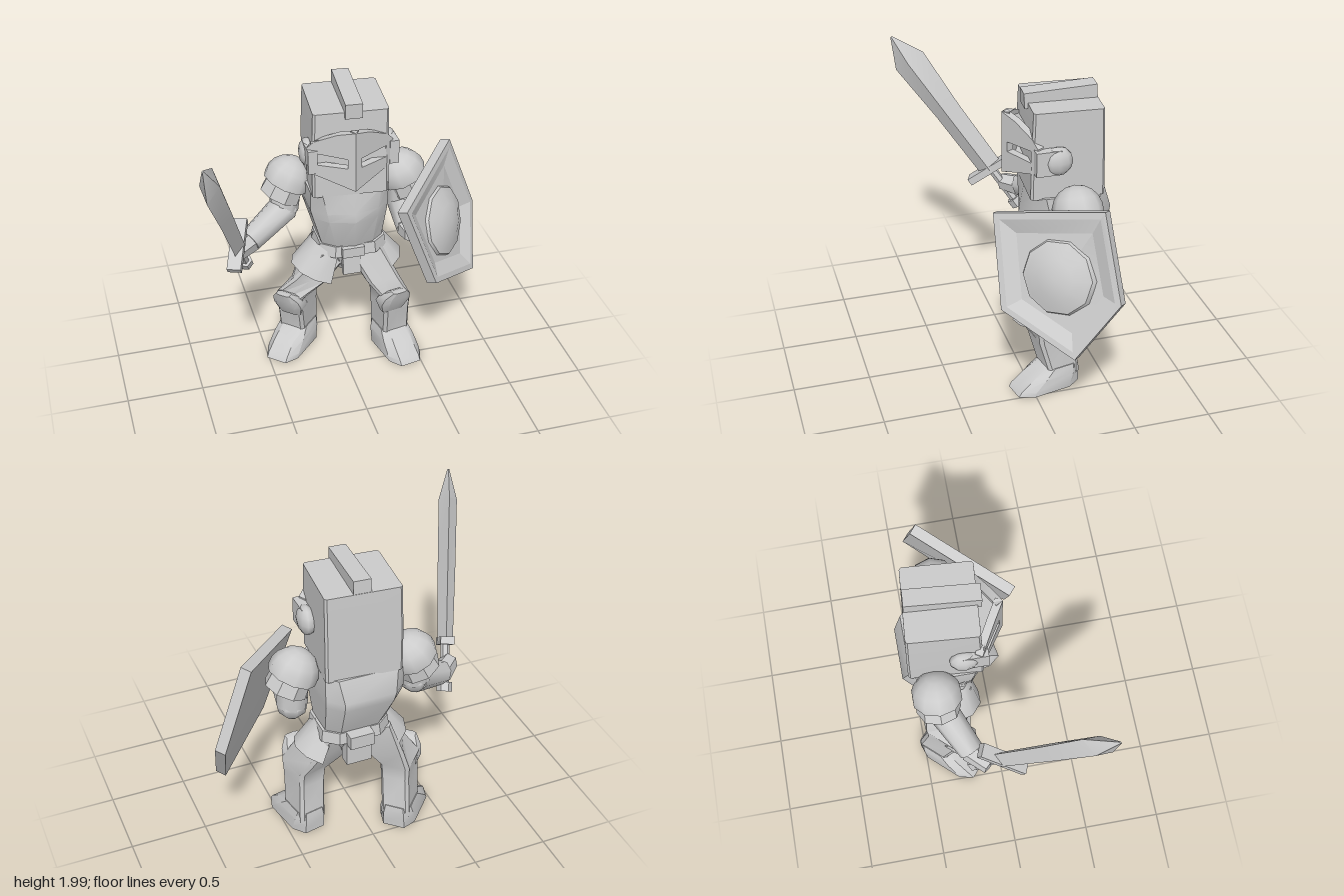
import * as THREE from 'three';
import { toCreasedNormals } from 'three/addons/utils/BufferGeometryUtils.js';

const V = (x, y, z) => new THREE.Vector3(x, y, z);
const UP = V(0, 1, 0);

export function createModel() {
  const root = new THREE.Group();
  const mat = new THREE.MeshStandardMaterial({ color: 0xcccccc, side: THREE.DoubleSide });

  function add(name, geo, parent = root, crease = 0.6) {
    const mesh = new THREE.Mesh(toCreasedNormals(geo, crease), mat);
    mesh.name = name;
    parent.add(mesh);
    return mesh;
  }

  // closed skin over a list of rings, capped at both ends
  function loft(rings) {
    const tri = [];
    const n = rings[0].length;
    for (let r = 0; r < rings.length - 1; r++) {
      for (let i = 0; i < n; i++) {
        const j = (i + 1) % n, a = rings[r], b = rings[r + 1];
        tri.push([a[i], b[i], a[j]], [a[j], b[i], b[j]]);
      }
    }
    const mid = (ring) => ring.reduce((s, p) => s.add(p), V(0, 0, 0)).divideScalar(n);
    const first = rings[0], last = rings[rings.length - 1];
    const c0 = mid(first), c1 = mid(last);
    for (let i = 0; i < n; i++) {
      const j = (i + 1) % n;
      tri.push([c0, first[i], first[j]], [c1, last[j], last[i]]);
    }
    // turn the faces outward whichever way the rings run
    const volume = tri.reduce((s, [a, b, c]) => s + a.dot(b.clone().cross(c)), 0);
    const pts = tri.flatMap(([a, b, c]) => (volume < 0 ? [a, c, b] : [a, b, c]));
    return new THREE.BufferGeometry().setFromPoints(pts);
  }

  // level chamfered rectangle: centre, half sizes, turn, corner fraction, front ridge
  function sec(x, y, z, hx, hz, yaw = 0, k = 0.6, ridge = 0) {
    const m = k * hx, q = k * hz;
    return [[hx, -q], [hx, q], [m, hz], [0, hz + ridge], [-m, hz], [-hx, q], [-hx, -q], [-m, -hz], [m, -hz]]
      .map(([a, b]) => V(a, 0, b).applyAxisAngle(UP, yaw).add(V(x, y, z)));
  }

  function limb(name, a, b, ra, rb, sides = 8) {
    const d = b.clone().sub(a);
    const m = add(name, new THREE.CylinderGeometry(rb, ra, d.length(), sides), root, 0.9);
    m.position.copy(a).add(b).multiplyScalar(0.5);
    m.quaternion.setFromUnitVectors(UP, d.normalize());
  }

  function box(name, w, h, d, x, y, z, ry = 0, rx = 0) {
    const m = add(name, new THREE.BoxGeometry(w, h, d));
    m.position.set(x, y, z);
    m.rotation.set(rx, ry, 0);
  }

  // torso, belt and hips
  add('torso', loft([
    sec(0.09, 0.86, -0.29, 0.2, 0.16, 0, 0.6, 0.02),
    sec(0.065, 1.12, -0.31, 0.25, 0.25, 0, 0.65, 0.05),
    sec(0.06, 1.18, -0.315, 0.26, 0.255, 0, 0.65, 0.04),
    sec(0.055, 1.33, -0.29, 0.26, 0.23, 0, 0.75, 0.01)]));
  add('belt', loft([sec(0.09, 0.81, -0.29, 0.23, 0.19), sec(0.09, 0.89, -0.29, 0.22, 0.18)]));
  add('hips', loft([sec(0.08, 0.67, -0.29, 0.1, 0.12), sec(0.09, 0.82, -0.29, 0.2, 0.17)]));
  box('beltBuckle', 0.15, 0.07, 0.05, 0.07, 0.85, -0.1);
  box('beltPouch', 0.16, 0.09, 0.08, 0.1, 0.845, -0.5);
  box('frontFlap', 0.12, 0.14, 0.04, 0.065, 0.74, -0.12, 0, -0.1);
  box('backFlap', 0.17, 0.17, 0.08, 0.1, 0.73, -0.45);

  // helmet with crest
  add('helmet', loft([
    sec(0.06, 1.32, -0.28, 0.245, 0.235, -0.08, 0.94),
    sec(0.06, 1.6, -0.28, 0.245, 0.23, -0.08, 0.94),
    sec(0.065, 1.9, -0.28, 0.24, 0.22, -0.08, 0.94)]));
  box('helmetCrest', 0.11, 0.1, 0.46, 0.075, 1.925, -0.265, -0.07, 0.05);

  // pointed visor: two mirrored panels with eye slots, and cheek hinges
  for (const s of [1, -1]) {
    const pts = (list) => list.map(([u, y]) => new THREE.Vector2(s * u, y));
    const shape = new THREE.Shape(pts([[0, 1.42], [0.24, 1.49], [0.32, 1.51], [0.32, 1.68], [0.27, 1.73], [0.12, 1.8], [0, 1.83]]));
    shape.holes.push(new THREE.Path(pts([[0.05, 1.575], [0.05, 1.64], [0.26, 1.65], [0.26, 1.57]])));
    const geo = new THREE.ExtrudeGeometry(shape, { depth: 0.05, bevelEnabled: false });
    geo.translate(0, 0, -0.05);
    const panel = add('visorPanel', geo);
    panel.position.set(0.035, 0, 0.09);
    panel.rotation.y = s * 0.52 - 0.04;
    const x = 0.06 + s * 0.265;
    box('visorCheek', 0.06, 0.16, 0.16, x, 1.59, -0.12);
    const hinge = add('visorHinge', new THREE.SphereGeometry(0.095, 10, 6), root, 0.9);
    hinge.position.set(x, 1.59, -0.185);
    hinge.scale.x = 0.6;
  }

  // brow and chin close the gap between visor and helmet
  const wedge = (tipY, sideY) => [V(0.035, tipY, 0.06), V(0.29, sideY, -0.07), V(-0.21, sideY, -0.07)];
  add('visorBrow', loft([wedge(1.78, 1.7), wedge(1.81, 1.73)]));
  add('visorChin', loft([wedge(1.43, 1.5), wedge(1.46, 1.53)]));

  // legs: hip, knee and ankle, with toes turned out by yaw
  const legs = [
    { side: 'left', hip: [0.17, -0.28], knee: [0.345, -0.145], ankle: [0.36, -0.19], yaw: 0.2, out: 1, lift: 0, shift: -0.025 },
    { side: 'right', hip: [-0.03, -0.29], knee: [-0.26, -0.33], ankle: [-0.24, -0.39], yaw: -0.75, out: -1, lift: -0.04, shift: 0 }];
  for (const { side, hip, knee, ankle, yaw, out, lift, shift } of legs) {
    const ring = (p, y, hx, hz, d = 0, w = 0, k = 0.6) =>
      sec(p[0] + Math.sin(yaw) * d + w, y, p[1] + Math.cos(yaw) * d, hx, hz, yaw, k);
    add(side + 'Leg', loft([
      ring(ankle, 0.08, 0.095, 0.115, 0, 0, 0.8), ring(ankle, 0.16, 0.095, 0.11, 0, 0, 0.8),
      ring(knee, 0.36, 0.095, 0.12, 0, 0, 0.8), ring(knee, 0.46, 0.1, 0.13, 0, 0, 0.8),
      sec(hip[0] * 0.45 + knee[0] * 0.55, 0.6, hip[1] * 0.45 + knee[1] * 0.55, 0.115, 0.145, yaw * 0.5, 0.8),
      sec(hip[0], 0.82, hip[1], 0.12, 0.15, 0, 0.8)]));
    add(side + 'Foot', loft([
      ring(ankle, 0, 0.12, 0.22, 0.1), ring(ankle, 0.03, 0.12, 0.21, 0.09),
      ring(ankle, 0.1, 0.115, 0.165, 0.04), ring(ankle, 0.16, 0.1, 0.115)]));
    add(side + 'KneeGuard', loft([
      ring(knee, 0.36 + lift, 0.08, 0.04, 0.08, shift), ring(knee, 0.44 + lift, 0.105, 0.075, 0.09, shift),
      ring(knee, 0.5 + lift, 0.095, 0.06, 0.125, shift), ring(knee, 0.56 + lift, 0.05, 0.025, 0.18, shift)]));

    // flared hip plate around the outer thigh
    const plate = add(side + 'HipPlate', new THREE.CylinderGeometry(0.13, 0.19, 0.22, 5, 1, true, out > 0 ? -0.3 : -2.8, 3.1));
    plate.position.set(hip[0] + out * 0.06, 0.74, -0.27);
    plate.rotation.z = out * 0.4;
  }

  // shoulders and arms
  const arms = [
    { side: 'left', s: 1, at: V(0.45, 1.3, -0.275), elbow: V(0.46, 1.06, -0.27), hand: V(0.42, 1.03, 0.0) },
    { side: 'right', s: -1, at: V(-0.295, 1.3, -0.38), elbow: V(-0.33, 1.1, -0.36), hand: V(-0.59, 0.97, -0.22) }];
  for (const { side, s, at, elbow, hand } of arms) {
    const pauldron = new THREE.Group();
    pauldron.name = side + 'Pauldron';
    pauldron.position.copy(at);
    pauldron.rotation.z = s * 0.45;
    root.add(pauldron);
    add('pauldronDome', new THREE.SphereGeometry(0.16, 10, 5, 0, Math.PI * 2, 0, Math.PI * 0.55), pauldron, 0.9);
    add('pauldronRim', new THREE.CylinderGeometry(0.13, 0.14, 0.11, 8, 1, true), pauldron).position.y = -0.07;
    limb(side + 'UpperArm', at, elbow, 0.1, 0.1);
    add(side + 'Elbow', new THREE.SphereGeometry(0.1, 8, 6), root, 0.9).position.copy(elbow);
    limb(side + 'Forearm', elbow, hand, 0.1, 0.08);
  }
  limb('leftHand', V(0.42, 1.03, -0.02), V(0.42, 1.03, 0.08), 0.08, 0.06, 6);
  limb('rightHand', V(-0.58, 0.965, -0.23), V(-0.7, 0.96, -0.12), 0.075, 0.06, 6);

  // sword: built upright, then turned onto its own axes
  const sword = new THREE.Group();
  sword.name = 'sword';
  const axis = V(-0.275, 0.92, 0.6).normalize();
  const wide = V(0.3, 0.58, -0.76).addScaledVector(axis, -V(0.3, 0.58, -0.76).dot(axis)).normalize();
  sword.quaternion.setFromRotationMatrix(new THREE.Matrix4().makeBasis(wide, axis, wide.clone().cross(axis)));
  sword.position.set(-0.705, 1.07, -0.04);
  root.add(sword);
  const diamond = (y, w, t) => [V(w, y, 0), V(0, y, t), V(-w, y, 0), V(0, y, -t)];
  add('blade', loft([diamond(0, 0.085, 0.05), diamond(0.5, 0.092, 0.058), diamond(0.93, 0.115, 0.06), diamond(1.13, 0.008, 0.006)]), sword, 0.3);
  add('crossguard', new THREE.BoxGeometry(0.35, 0.05, 0.09), sword);
  add('grip', new THREE.CylinderGeometry(0.03, 0.03, 0.28, 6), sword).position.y = -0.15;
  add('pommel', new THREE.CylinderGeometry(0.05, 0.05, 0.06, 6), sword).position.y = -0.3;

  // shield: five corners, with a raised rim, dished face and round boss
  const shield = new THREE.Group();
  shield.name = 'shield';
  const corners = [V(0.33, 1.3, 0.23), V(0.795, 1.46, -0.325), V(1.0, 0.93, -0.37), V(0.93, 0.545, -0.11), V(0.54, 0.73, 0.24)];
  const centre = corners.reduce((a, p) => a.add(p), V(0, 0, 0)).divideScalar(5);
  const normal = V(0.7, 0.27, 0.66).normalize();
  const ringAt = (k, d) => corners.map((p) => p.clone().sub(centre).multiplyScalar(k).addScaledVector(normal, d));
  shield.position.copy(centre);
  root.add(shield);
  add('shieldPlate', loft([ringAt(1, -0.07), ringAt(1, 0), ringAt(0.9, 0), ringAt(0.68, -0.04)]), shield, 0.4);
  const boss = add('shieldBoss', new THREE.LatheGeometry(
    [[0.25, -0.06], [0.23, -0.02], [0.2, -0.01], [0.12, 0.02], [0, 0.035]].map(([r, y]) => new THREE.Vector2(r, y)), 10), shield);
  boss.quaternion.setFromUnitVectors(UP, normal);
  boss.position.set(-0.01, 0.01, 0.01);

  return root;
}
